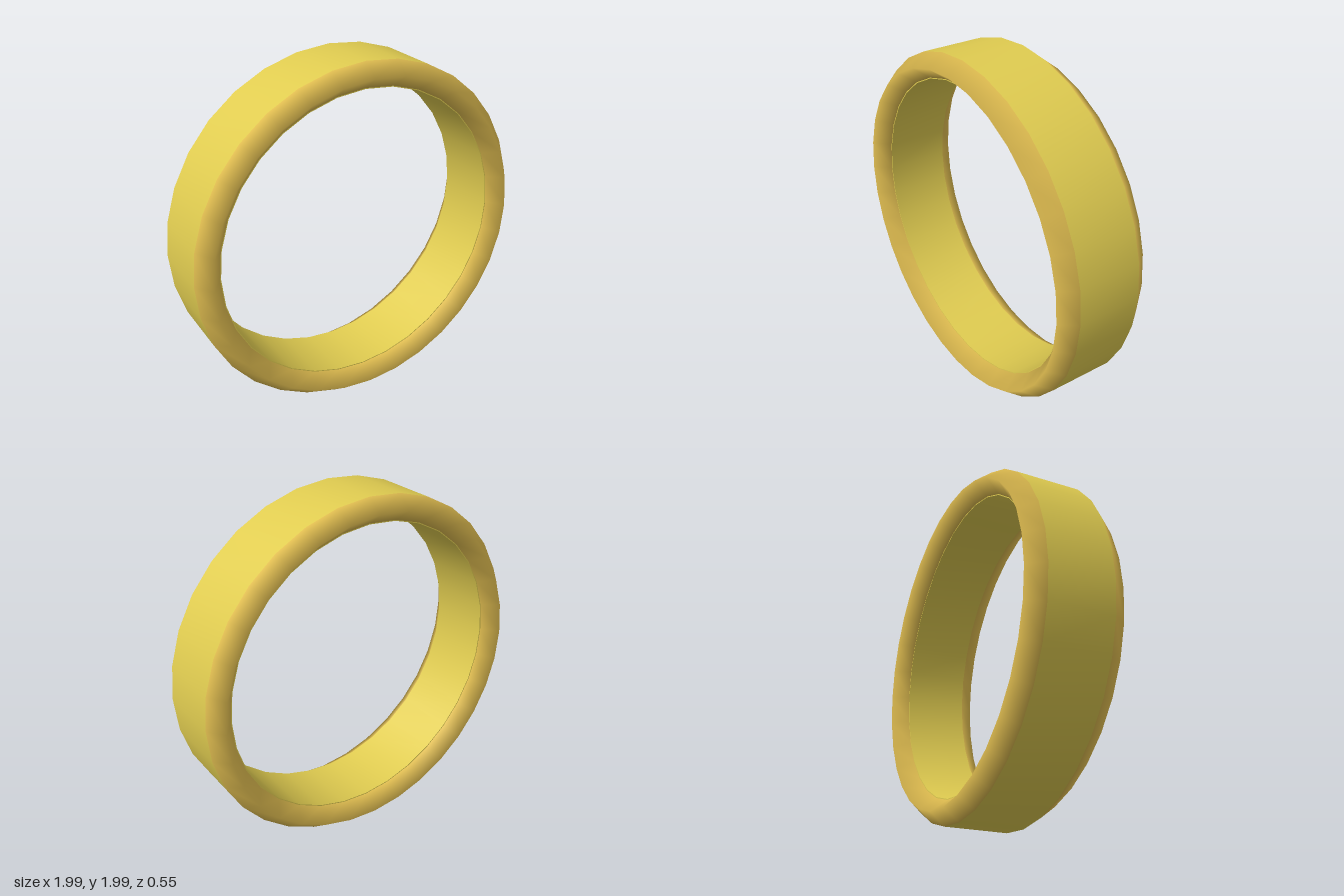
import * as THREE from 'three';
import { toCreasedNormals } from 'three/addons/utils/BufferGeometryUtils.js';

const SEGMENTS = 32;
const OUTER = 0.995, INNER = 0.85, HALF_WIDTH = 0.183;
const RIM_RADIUS = 0.925, RIM_TUBE = 0.07, RIM_DEPTH = 0.09;

export function createModel() {
  const ring = new THREE.Group();
  ring.name = 'ring';
  const bandMaterial = new THREE.MeshStandardMaterial({ color: 0xe0cc50 });
  const rimMaterial = new THREE.MeshStandardMaterial({ color: 0xe0bd50 });

  // Wide band: a rectangular section turned around the z axis
  const profile = [
    [OUTER, -HALF_WIDTH], [OUTER, HALF_WIDTH],
    [INNER, HALF_WIDTH], [INNER, -HALF_WIDTH], [OUTER, -HALF_WIDTH],
  ].map(([r, h]) => new THREE.Vector2(r, h));
  const bandGeometry = new THREE.LatheGeometry(profile, SEGMENTS);
  bandGeometry.rotateX(Math.PI / 2);
  const band = new THREE.Mesh(toCreasedNormals(bandGeometry, Math.PI / 6), bandMaterial);
  band.name = 'band';
  ring.add(band);

  // Four-sided rims on the front and back edges
  for (const [name, side] of [['frontRim', 1], ['backRim', -1]]) {
    const geometry = new THREE.TorusGeometry(RIM_RADIUS, RIM_TUBE, 4, SEGMENTS);
    geometry.scale(1, 1, RIM_DEPTH / RIM_TUBE);
    const rim = new THREE.Mesh(geometry, rimMaterial);
    rim.name = name;
    rim.position.z = side * HALF_WIDTH;
    ring.add(rim);
  }

  ring.position.y = 1;
  const model = new THREE.Group();
  model.name = 'ringModel';
  model.add(ring);
  return model;
}
